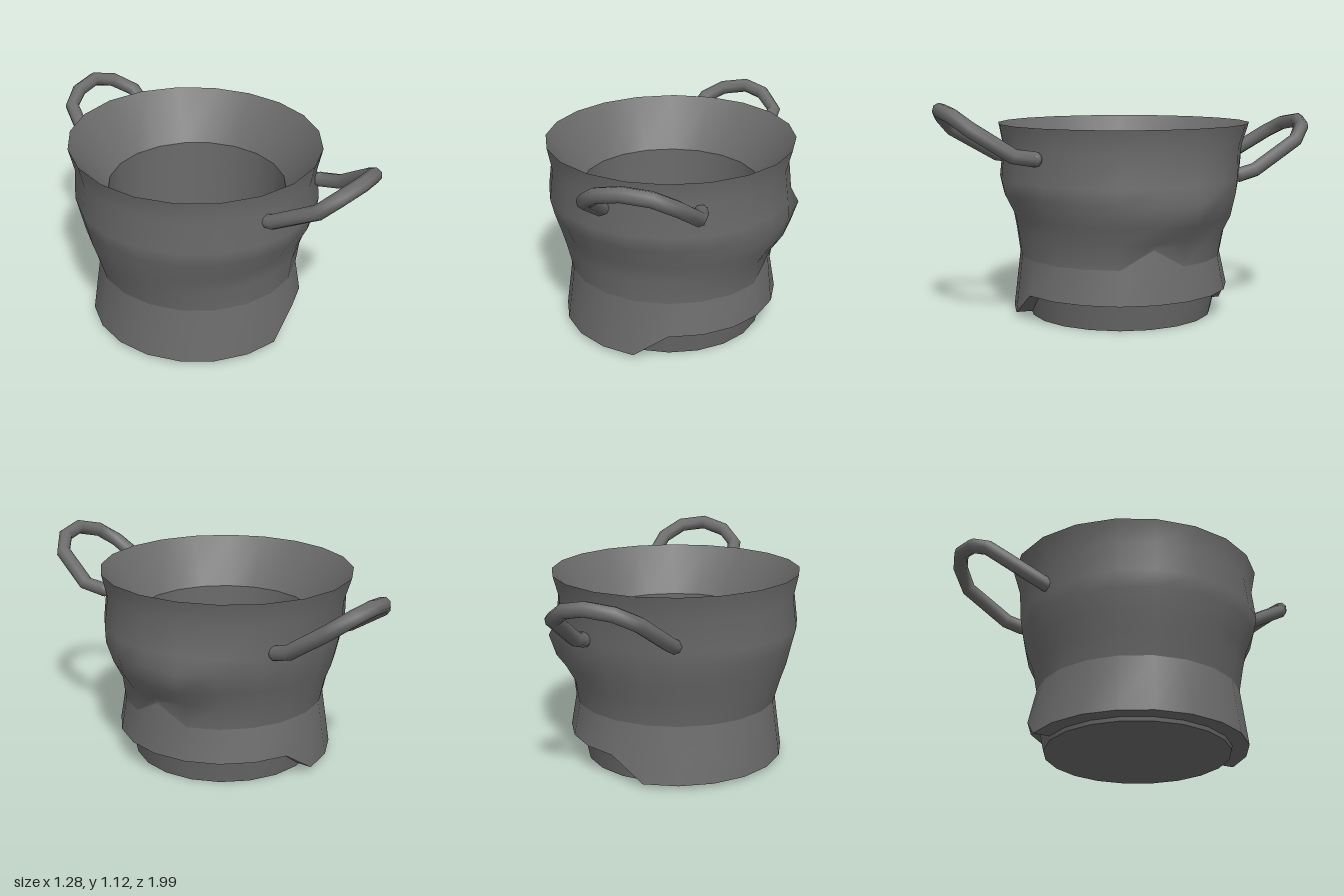
import * as THREE from 'three';

const SIDES = 20;
const metal = new THREE.MeshStandardMaterial({ color: 0x6b6b6b });
metal.name = 'dark grey metal';

// One loop of points; angle runs from the front towards +x.
function ring(radius, height) {
  return Array.from({ length: SIDES }, (_, i) => {
    const a = (i / SIDES) * Math.PI * 2;
    const r = typeof radius === 'function' ? radius(a, i) : radius;
    const y = typeof height === 'function' ? height(a, i) : height;
    return [Math.sin(a) * r, y, Math.cos(a) * r];
  });
}

// Skin between loops: upward order faces outwards, downward order inwards.
function loft(name, rings) {
  const index = [];
  for (let j = 0; j < rings.length - 1; j++) {
    for (let i = 0; i < SIDES; i++) {
      const k = (i + 1) % SIDES;
      const a = j * SIDES + i, b = j * SIDES + k;
      index.push(a, b, b + SIDES, a, b + SIDES, a + SIDES);
    }
  }
  const g = new THREE.BufferGeometry();
  g.setAttribute('position', new THREE.Float32BufferAttribute(rings.flat(2), 3));
  g.setIndex(index);
  g.computeVertexNormals();
  return part(name, g);
}

function part(name, geometry) {
  const m = new THREE.Mesh(geometry, metal);
  m.name = name;
  return m;
}

function disc(name, radius, y, up) {
  const g = new THREE.CircleGeometry(radius, SIDES);
  g.rotateX(up ? -Math.PI / 2 : Math.PI / 2);
  g.translate(0, y, 0);
  return part(name, g);
}

// Straight-segment path so the handles keep their angular bends.
class Polyline extends THREE.Curve {
  constructor(points) {
    super();
    this.points = points.map((p) => new THREE.Vector3(...p));
  }
  getPoint(t, target = new THREE.Vector3()) {
    const n = this.points.length - 1;
    const s = THREE.MathUtils.clamp(t, 0, 1) * n;
    const i = Math.min(Math.floor(s), n - 1);
    return target.lerpVectors(this.points[i], this.points[i + 1], s - i);
  }
  getUtoTmapping(u) {
    return u;
  }
}

function handle(name, points) {
  const group = new THREE.Group();
  group.name = name;
  const curve = new Polyline(points);
  group.add(part('handleBar', new THREE.TubeGeometry(curve, points.length - 1, 0.038, 8)));
  for (const p of [points[0], points[points.length - 1]]) {
    const end = part('handleEnd', new THREE.SphereGeometry(0.038, 8, 6));
    end.position.set(...p);
    group.add(end);
  }
  return group;
}

// Dented wall: height, then radius towards +x, -x, +z and -z.
const WALL = [
  [0.315, 0.535, 0.53, 0.535, 0.525],
  [0.44, 0.55, 0.565, 0.55, 0.55],
  [0.53, 0.61, 0.595, 0.565, 0.585],
  [0.64, 0.635, 0.62, 0.62, 0.61],
  [0.72, 0.63, 0.64, 0.637, 0.625],
  [0.88, 0.61, 0.62, 0.62, 0.64],
  [1.0, 0.64, 0.645, 0.642, 0.678],
];

function wallRing([y, right, left, front, back], row) {
  const radius = (a, i) => {
    const s = Math.sin(a), c = Math.cos(a);
    let r = s * s * (s > 0 ? right : left) + c * c * (c > 0 ? front : back);
    if (i === 6 && row === 3) r = 0.672; // outward dent beside the +x side
    if (i === 6 && row === 2) r = 0.635;
    return r;
  };
  // The seam above the skirt rises to a small peak at +x.
  return ring(radius, (a, i) => (row === 0 && i === 5 ? 0.41 : y));
}

export function createModel() {
  const model = new THREE.Group();
  model.name = 'pot';

  // Dented upper wall
  const wall = WALL.map(wallRing);
  model.add(loft('outerWall', wall));

  // Flared skirt, cut short on the +x half
  const short = (i) => i >= 1 && i <= 9;
  const hemY = (a, i) => (short(i) ? 0.142 : 0.02);
  const hem = ring((a, i) => (short(i) ? 0.564 : 0.57), hemY);
  model.add(loft('skirt', [hem, wall[0]]));
  model.add(loft('skirtUnderside', [ring(0.48, (a, i) => hemY(a, i) - (short(i) ? 0.01 : 0)), hem]));

  // Base
  model.add(loft('baseWall', [ring(0.48, 0), ring(0.51, 0.14)]));
  model.add(disc('baseBottom', 0.48, 0, false));

  // Sloping mouth, straight inner wall and floor
  const throat = ring(0.465, 0.75);
  model.add(loft('mouth', [wall[wall.length - 1], throat]));
  model.add(loft('innerWall', [throat, ring(0.465, 0.03)]));
  model.add(disc('floor', 0.465, 0.03, true));

  // Two bent handles
  model.add(handle('frontHandle', [
    [-0.13, 0.83, 0.56], [-0.13, 0.84, 0.63], [-0.1, 0.98, 0.87], [-0.02, 1.045, 0.93],
    [0.11, 1.08, 0.957], [0.24, 1.062, 0.925], [0.33, 1.0, 0.85], [0.365, 0.87, 0.65], [0.34, 0.85, 0.54],
  ]));
  model.add(handle('backHandle', [
    [-0.17, 0.74, -0.56], [-0.17, 0.78, -0.66], [-0.095, 0.93, -0.89], [0, 0.98, -0.94],
    [0.13, 1.0, -0.962], [0.24, 0.975, -0.93], [0.33, 0.91, -0.85], [0.315, 0.76, -0.63], [0.3, 0.735, -0.55],
  ]));
  return model;
}
